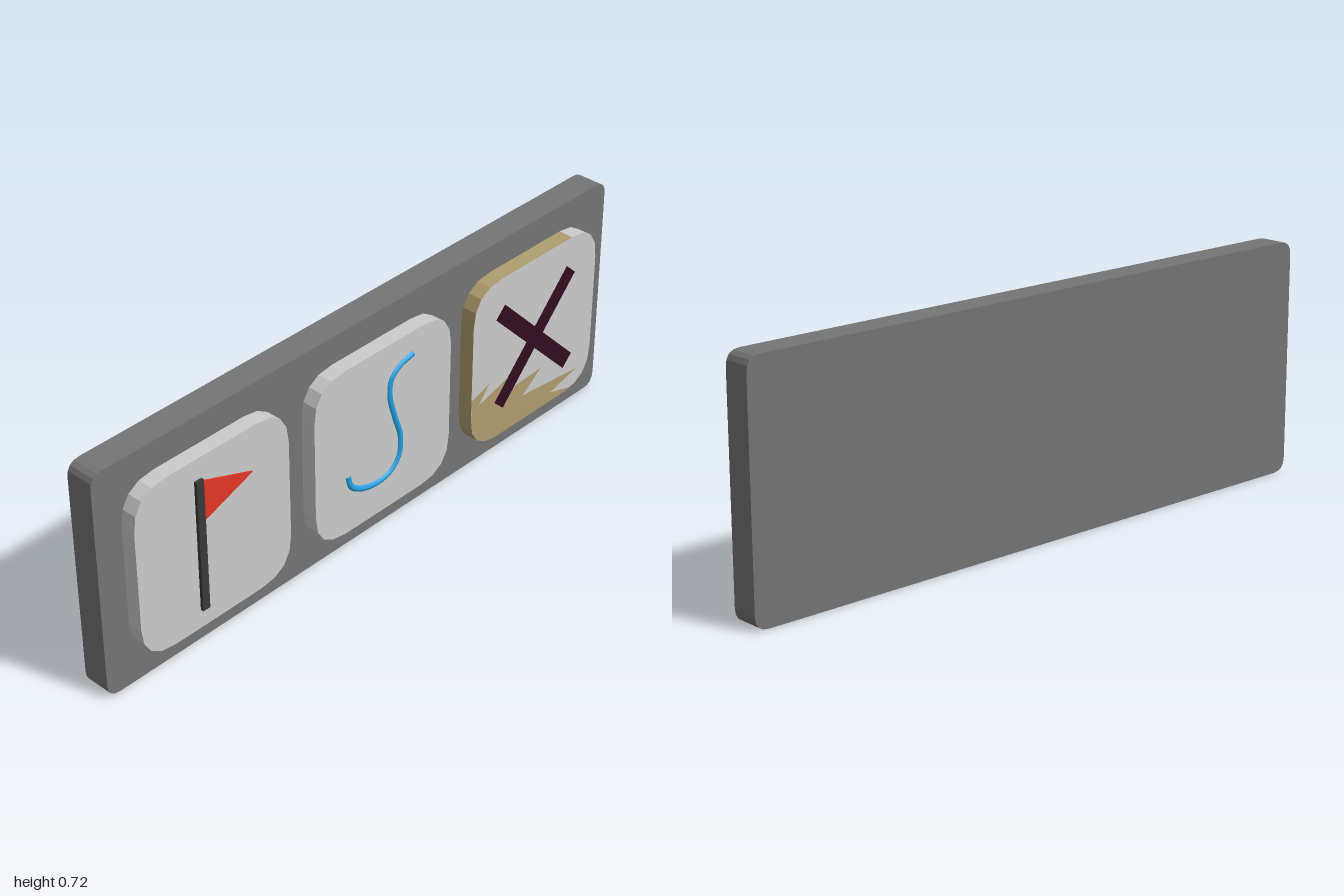
import * as THREE from 'three';

const BASE_FRONT = 0.015, TILE_FRONT = 0.062;

const material = (color) => new THREE.MeshStandardMaterial({ color });

function addMesh(parent, name, geometry, color) {
  const mesh = new THREE.Mesh(geometry, material(color));
  mesh.name = name;
  parent.add(mesh);
  return mesh;
}

// Rectangle with separate corner radii for its left and right ends
function roundedRect(x0, x1, y0, y1, rl, rr = rl) {
  const s = new THREE.Shape();
  s.moveTo(x0 + rl, y0);
  s.lineTo(x1 - rr, y0);
  if (rr) s.quadraticCurveTo(x1, y0, x1, y0 + rr);
  s.lineTo(x1, y1 - rr);
  if (rr) s.quadraticCurveTo(x1, y1, x1 - rr, y1);
  s.lineTo(x0 + rl, y1);
  if (rl) s.quadraticCurveTo(x0, y1, x0, y1 - rl);
  s.lineTo(x0, y0 + rl);
  if (rl) s.quadraticCurveTo(x0, y0, x0 + rl, y0);
  return s;
}

function slab(shape, z0, z1) {
  return new THREE.ExtrudeGeometry(shape, { depth: z1 - z0, bevelEnabled: false, curveSegments: 4 })
    .translate(0, 0, z0);
}

export function createModel() {
  const model = new THREE.Group();
  model.name = 'iconPanel';
  const grey = 0xcccccc, sand = 0xb09e70;
  const y0 = 0.088, y1 = 0.632, half = 0.272, r = 0.117;

  // Backing board
  addMesh(model, 'backBoard', slab(roundedRect(-1, 1, 0, 0.717, 0.043), -0.07, BASE_FRONT), 0x757575);

  // Flag tile
  const flagTile = new THREE.Group();
  flagTile.name = 'flagTile';
  addMesh(flagTile, 'tile', slab(roundedRect(-0.64 - half, -0.64 + half, y0, y1, r), BASE_FRONT, TILE_FRONT), grey);
  addMesh(flagTile, 'flagPole', new THREE.BoxGeometry(0.025, 0.419, 0.02), 0x3b3b3b)
    .position.set(-0.693, 0.3575, 0.062);
  const pennant = new THREE.Shape([[-0.683, 0.43], [-0.505, 0.495], [-0.683, 0.56]]
    .map(([x, y]) => new THREE.Vector2(x, y)));
  addMesh(flagTile, 'pennant', slab(pennant, 0.06, 0.067), 0xe53725);
  model.add(flagTile);

  // Curved line tile
  const curveTile = new THREE.Group();
  curveTile.name = 'curveTile';
  addMesh(curveTile, 'tile', slab(roundedRect(-half, half, y0, y1, r), BASE_FRONT, TILE_FRONT), grey);
  const path = new THREE.CatmullRomCurve3([
    [0.115, 0.56], [0.06, 0.545], [0.027, 0.515], [0.022, 0.46], [0.042, 0.385], [0.065, 0.31], [0.06, 0.245],
    [0.025, 0.207], [-0.03, 0.197], [-0.09, 0.21], [-0.133, 0.24], [-0.146, 0.282],
  ].map(([x, y]) => new THREE.Vector3(x, y, 0.058)));
  addMesh(curveTile, 'curvedLine', new THREE.TubeGeometry(path, 64, 0.011, 8), 0x26a3e3);
  model.add(curveTile);

  // Cross tile: sandy body with a grey right end and a grey face
  const crossTile = new THREE.Group();
  crossTile.name = 'crossTile';
  const left = 0.64 - half, right = 0.64 + half, cut = right - r;
  addMesh(crossTile, 'sandBody', slab(roundedRect(left, cut, y0, y1, r, 0), BASE_FRONT, TILE_FRONT), sand);
  addMesh(crossTile, 'greyEnd', slab(roundedRect(cut, right, y0, y1, 0, r), BASE_FRONT, TILE_FRONT), grey);
  const face = new THREE.ShapeGeometry(roundedRect(left, right, y0, y1, r), 4).translate(0, 0, TILE_FRONT + 0.0005);
  addMesh(crossTile, 'greyFace', face, grey);

  // Jagged sand patch in the lower left corner of the face
  const patch = new THREE.Shape();
  patch.moveTo(left + r, y0);
  patch.quadraticCurveTo(left, y0, left, y0 + r);
  for (const [x, y] of [[left, 0.27], [0.445, 0.295], [0.4, 0.24], [0.53, 0.275], [0.5, 0.225], [0.68, 0.235],
    [0.6, 0.175], [0.85, 0.15], [0.73, 0.12], [0.82, 0.095], [cut, y0]]) patch.lineTo(x, y);
  addMesh(crossTile, 'sandPatch', new THREE.ShapeGeometry(patch, 4).translate(0, 0, TILE_FRONT + 0.001), sand);

  // Crossed bars
  for (const side of [-1, 1]) {
    const bar = addMesh(crossTile, 'crossBar', new THREE.BoxGeometry(0.45, 0.052, 0.004), 0x320d22);
    bar.position.set(0.643, 0.36, TILE_FRONT + (side > 0 ? 0 : -0.0003));
    bar.rotation.z = side * (side > 0 ? 0.82 : 0.785);
  }
  model.add(crossTile);

  return model;
}
